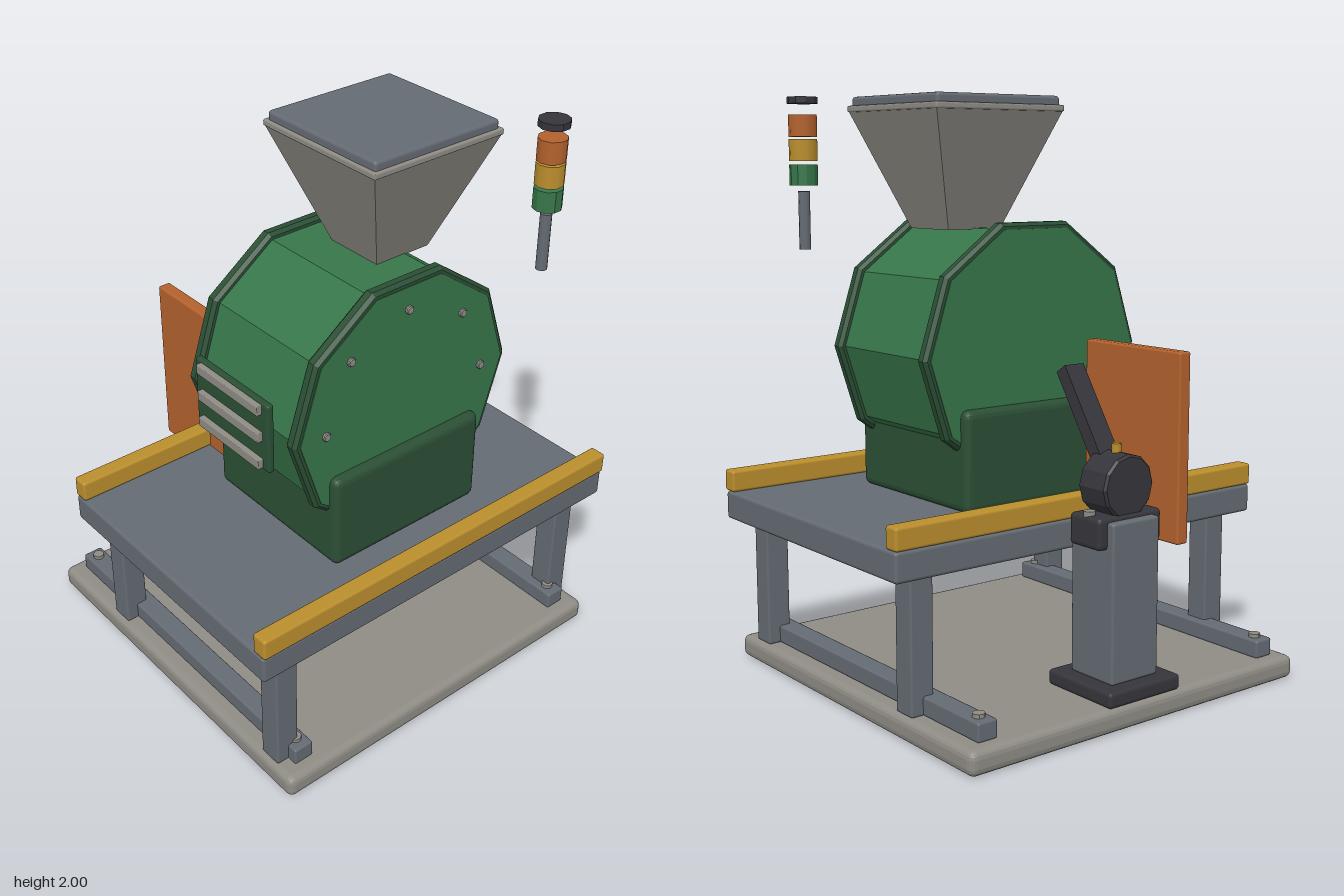
import * as THREE from 'three';
import { RoundedBoxGeometry } from 'three/addons/geometries/RoundedBoxGeometry.js';

export function createModel() {
  const model = new THREE.Group();
  model.name = 'grindingMachine';

  const material = (name, color, flatShading = false) => {
    const m = new THREE.MeshStandardMaterial({ color, flatShading });
    m.name = name;
    return m;
  };
  const slate = material('slateSteel', 0x656b73);
  const steel = material('paleSteel', 0x8f8c85, true);
  const green = material('machineGreen', 0x37764a, true);
  const darkGreen = material('darkGreen', 0x2b4f35, true);
  const yellow = material('safetyYellow', 0xbb8e2d);
  const orange = material('guardOrange', 0xb4622d);
  const black = material('blackPlastic', 0x35353b, true);

  const add = (name, geometry, mat, x, y, z) => {
    const mesh = new THREE.Mesh(geometry, mat);
    mesh.name = name;
    mesh.position.set(x, y, z);
    model.add(mesh);
    return mesh;
  };
  // Soft-edged box given by its lower and upper limits on each axis
  const box = (name, mat, [x0, x1], [y0, y1], [z0, z1], r = 0.01) =>
    add(name, new RoundedBoxGeometry(x1 - x0, y1 - y0, z1 - z0, 2, r), mat,
      (x0 + x1) / 2, (y0 + y1) / 2, (z0 + z1) / 2);
  // Upright cylinder between two heights
  const post = (name, mat, r, y0, y1, x, z, sides = 10) =>
    add(name, new THREE.CylinderGeometry(r, r, y1 - y0, sides), mat, x, (y0 + y1) / 2, z);
  // Chamfered disc lying along the x axis
  const discX = (name, mat, r, x0, x1, y, z, sides, c) => {
    const h = (x1 - x0) / 2;
    const profile = [[0, -h], [r - c, -h], [r, -h + c], [r, h - c], [r - c, h], [0, h]]
      .map(([a, b]) => new THREE.Vector2(a, b));
    const g = new THREE.LatheGeometry(profile, sides).rotateZ(-Math.PI / 2);
    return add(name, g, mat, (x0 + x1) / 2, y, z);
  };

  // Base slab
  box('baseSlab', steel, [-0.7, 0.7], [0, 0.08], [-0.7, 0.7], 0.025);

  // Skids with anchor bolts, and table legs
  for (const s of [-1, 1]) {
    const z = 0.602 * s;
    box('skid', slate, [-0.65, 0.65], [0.08, 0.143], [z - 0.037, z + 0.037], 0.008);
    for (const x of [-0.604, 0.604]) post('anchorBolt', steel, 0.02, 0.14, 0.156, x, z, 12);
    for (const x of [-0.324, 0.57])
      box('leg', slate, [x - 0.043, x + 0.043], [0.08, 0.54], [0.64 * s - 0.043, 0.64 * s + 0.043], 0.008);
  }

  // Table and its side rails
  box('tableTop', slate, [-0.413, 0.66], [0.532, 0.632], [-0.766, 0.766], 0.012);
  for (const x of [-0.386, 0.638])
    box('sideRail', yellow, [x - 0.03, x + 0.03], [0.632, 0.708], [-0.766, 0.766], 0.01);

  // Mill housing: saddle, ten-sided drum and end flanges
  const cx = 0.151, cy = 1.147;
  box('saddle', darkGreen, [-0.166, 0.467], [0.63, 0.975], [-0.317, 0.317], 0.025);
  const drum = new THREE.CylinderGeometry(0.434, 0.434, 0.566, 10).rotateZ(-Math.PI / 2);
  add('drum', drum, green, cx, cy, 0);
  for (const x of [-0.105, 0.407])
    discX('endFlange', darkGreen, 0.457, x - 0.024, x + 0.024, cy, 0, 10, 0.012);
  for (let i = 0; i <= 4; i++) {
    const a = (i * Math.PI) / 4;
    discX('flangeBolt', steel, 0.015, 0.425, 0.445, cy + 0.333 * Math.sin(a), 0.333 * Math.cos(a), 10, 0.003);
  }

  // Front grille
  box('grillePlate', darkGreen, [-0.04, 0.341], [1.02, 1.273], [0.462, 0.487], 0.008);
  for (const y of [1.046, 1.147, 1.248])
    box('grilleBar', steel, [-0.009, 0.311], [y - 0.018, y + 0.018], [0.48, 0.506], 0.004);

  // Feed hopper with lid
  const cone = new THREE.CylinderGeometry(0.262 * Math.SQRT2, 0.109 * Math.SQRT2, 0.4, 4).rotateY(Math.PI / 4);
  add('hopper', cone, steel, cx, 1.755, -0.127);
  box('hopperRim', steel, [cx - 0.265, cx + 0.265], [1.948, 1.97], [-0.392, 0.138], 0.006);
  box('hopperLid', slate, [cx - 0.254, cx + 0.254], [1.96, 2], [-0.381, 0.127], 0.012);

  // Signal tower
  post('towerPole', slate, 0.02, 1.48, 1.68, 0.51, -0.512);
  post('greenLamp', green, 0.049, 1.7, 1.772, 0.51, -0.512);
  post('yellowLamp', yellow, 0.049, 1.783, 1.858, 0.51, -0.512);
  post('orangeLamp', orange, 0.049, 1.865, 1.94, 0.51, -0.512);
  post('towerCap', black, 0.053, 1.977, 2, 0.51, -0.512);

  // Guard panel
  box('guardPanel', orange, [-0.641, -0.183], [0.546, 1.18], [0.18, 0.228], 0.008);

  // Control pedestal with clamp block
  const px = -0.54;
  box('pedestalFoot', black, [px - 0.153, px + 0.153], [0.08, 0.132], [-0.153, 0.153], 0.012);
  box('pedestalColumn', slate, [px - 0.101, px + 0.101], [0.13, 0.66], [-0.1, 0.1], 0.01);
  box('clampBlock', black, [px - 0.073, px + 0.073], [0.57, 0.675], [-0.135, 0.135], 0.015);
  for (const z of [-0.112, 0.112]) post('clampBolt', steel, 0.02, 0.67, 0.688, px, z, 12);

  // Lever head, lever and its yellow button
  discX('leverHead', black, 0.106, px - 0.065, px + 0.065, 0.76, 0, 12, 0.008);
  post('leverButton', yellow, 0.016, 0.86, 0.893, px, 0, 10);
  const lever = add('lever', new THREE.BoxGeometry(0.05, 0.42, 0.08), black, px + 0.115, 0.935, 0);
  lever.rotation.z = -0.58;

  return model;
}
